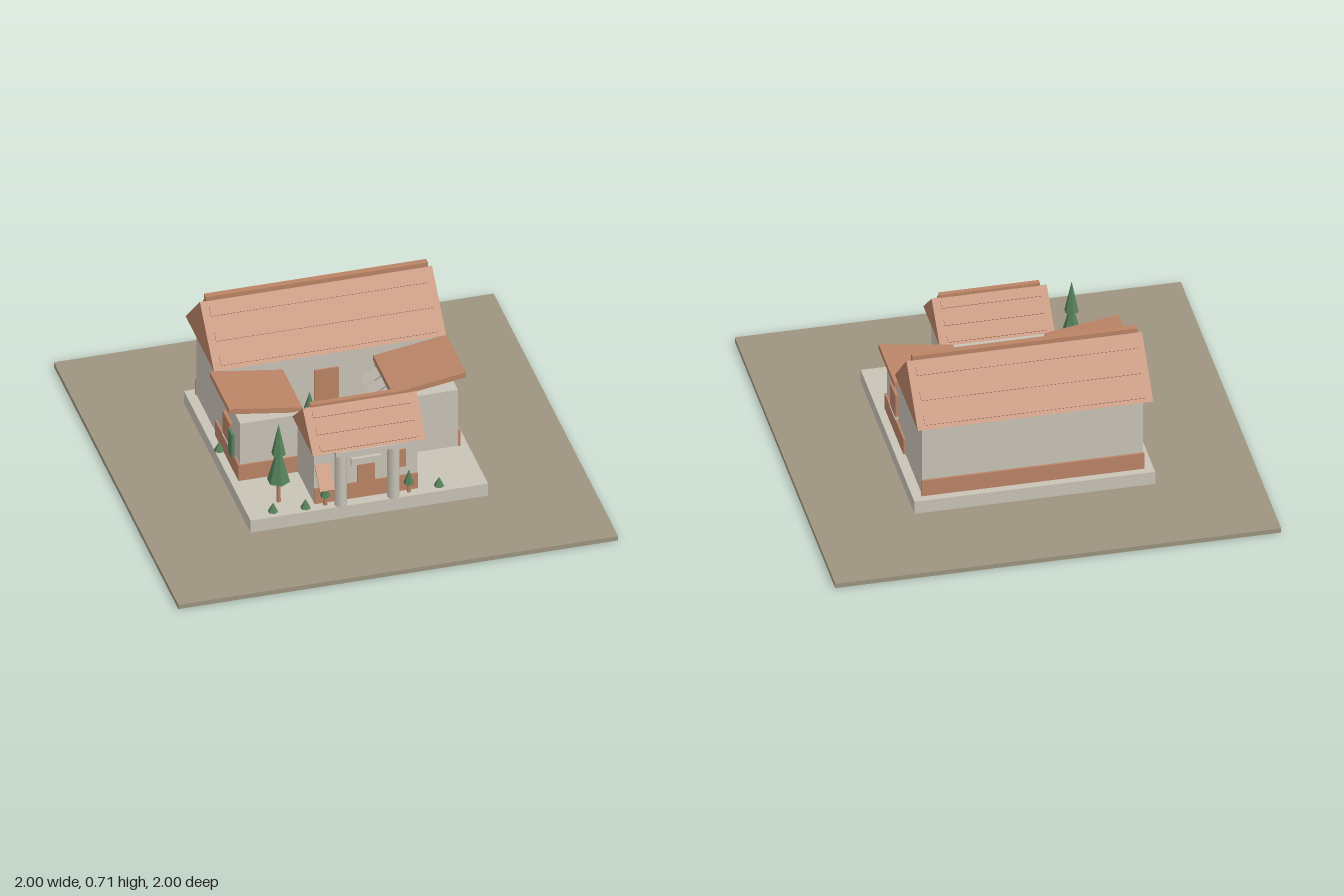
import * as THREE from 'three';

const mat = (name, color) => {
  const m = new THREE.MeshStandardMaterial({ color });
  m.name = name;
  return m;
};

export function createModel() {
  const root = new THREE.Group();
  root.name = 'courtyardHouse';
  const stone = mat('pale plaster', 0xc9c3b7);
  const clay = mat('terracotta', 0xba8466);
  const earth = mat('earth', 0x9d947f);
  const leaf = mat('leaf green', 0x55805a);
  leaf.flatShading = true;

  const add = (name, geo, material, parent = root) => {
    const m = new THREE.Mesh(geo, material);
    m.name = name;
    parent.add(m);
    return m;
  };
  // Box given by its lower and upper limits
  const box = (name, x0, x1, y0, y1, z0, z1, material, parent = root) => {
    const m = add(name, new THREE.BoxGeometry(x1 - x0, y1 - y0, z1 - z0), material, parent);
    m.position.set((x0 + x1) / 2, (y0 + y1) / 2, (z0 + z1) / 2);
    return m;
  };

  // Ground and plinth
  box('ground', -1, 1, 0, 0.022, -1, 1, earth);
  box('plinth', -0.54, 0.54, 0.022, 0.085, -0.535, 0.535, stone);
  box('courtyardPond', -0.07, 0.065, 0.085, 0.09, -0.06, 0.105, earth);

  // Solid gable roof along x, with tile strips lying above both slopes
  const gableRoof = (name, half, eave, ridge, zc, depth, stripHalf, stripWidth, lift) => {
    const g = new THREE.Group();
    g.name = name;
    root.add(g);
    const h = ridge - eave;
    const shape = new THREE.Shape([
      new THREE.Vector2(-depth, 0), new THREE.Vector2(depth, 0), new THREE.Vector2(0, h)]);
    const geo = new THREE.ExtrudeGeometry(shape, { depth: half * 2, bevelEnabled: false });
    geo.translate(0, 0, -half).rotateY(Math.PI / 2);
    add('gable', geo, clay, g).position.set(0, eave, zc);
    const a = Math.atan2(h, depth);
    for (const s of [-1, 1]) for (const t of [0.17, 0.53, 0.88]) {
      const strip = add('tileStrip', new THREE.BoxGeometry(stripHalf * 2, 0.006, stripWidth), clay, g);
      strip.position.set(0, ridge - h * t + lift * Math.cos(a), zc + s * (depth * t + lift * Math.sin(a)));
      strip.rotation.x = s * a;
    }
    return g;
  };

  // Main hall at the back
  box('hallBody', -0.495, 0.495, 0.085, 0.455, -0.49, -0.14, stone);
  box('hallBackSkirting', -0.5, 0.5, 0.085, 0.165, -0.5, -0.49, clay);
  box('hallDoor', -0.06, 0.05, 0.12, 0.36, -0.14, -0.132, clay);
  const hallRoof = gableRoof('hallRoof', 0.528, 0.465, 0.685, -0.322, 0.228, 0.495, 0.042, 0.015);
  box('ridgeCap', -0.505, 0.505, 0.693, 0.715, -0.337, -0.307, clay, hallRoof);

  // Side wings, mirrored, with roofs falling towards the courtyard
  for (const s of [-1, 1]) {
    const wing = new THREE.Group();
    wing.name = s > 0 ? 'leftWing' : 'rightWing';
    root.add(wing);
    const part = (name, x0, x1, ...rest) =>
      box(name, Math.min(s * x0, s * x1), Math.max(s * x0, s * x1), ...rest, wing);
    part('wingBody', 0.215, 0.495, 0.085, 0.378, -0.14, 0.21, stone);
    part('sideSkirting', 0.495, 0.505, 0.085, 0.165, -0.16, 0.213, clay);
    part('sideWindow', 0.495, 0.51, 0.19, 0.305, -0.02, 0.09, clay);
    part('windowSill', 0.495, 0.512, 0.178, 0.186, -0.02, 0.09, stone);
    const slope = [[0.205, 0.37], [0.538, 0.42], [0.538, 0.446], [0.205, 0.396]];
    const shape = new THREE.Shape(slope.map(([x, y]) => new THREE.Vector2(s * x, y)));
    const geo = new THREE.ExtrudeGeometry(shape, { depth: 0.312, bevelEnabled: false });
    add('wingRoof', geo.translate(0, 0, -0.127), clay, wing);
  }
  box('wingFrontSkirting', -0.505, -0.235, 0.085, 0.165, 0.21, 0.218, clay);
  box('climbingPlant', -0.528, -0.515, 0.185, 0.31, 0.13, 0.185, leaf);

  // Raised shutters along one side of the courtyard
  for (let i = 0; i < 3; i++) {
    const z = -0.06 + i * 0.083;
    const shutter = box('courtyardShutter', 0.135, 0.215, 0.33, 0.336, z - 0.034, z + 0.034, stone);
    shutter.rotation.z = 0.6;
    if (i < 2) box('shutterBracket', 0.18, 0.215, 0.3, 0.31, z + 0.036, z + 0.046, clay);
  }

  // Gatehouse
  box('gateBody', -0.235, 0.235, 0.085, 0.355, 0.175, 0.48, stone);
  box('gateSkirting', -0.235, 0.235, 0.085, 0.165, 0.48, 0.486, clay);
  box('gateDoor', -0.04, 0.04, 0.165, 0.262, 0.48, 0.486, clay);
  box('doorLintel', -0.07, 0.065, 0.262, 0.296, 0.48, 0.495, stone);
  box('gateBeam', -0.155, 0.145, 0.352, 0.375, 0.475, 0.545, stone);
  box('gateWindow', 0.13, 0.18, 0.21, 0.3, 0.48, 0.486, clay);
  for (const x of [-0.125, 0.115]) {
    const col = add('gateColumn', new THREE.CylinderGeometry(0.028, 0.028, 0.268, 8), stone);
    col.position.set(x, 0.219, 0.515);
  }
  const awning = add('gateAwning', new THREE.BoxGeometry(0.068, 0.125, 0.008), clay);
  awning.position.set(-0.2, 0.245, 0.525);
  awning.rotation.x = -Math.PI / 4;
  const gateRoof = gableRoof('gateRoof', 0.258, 0.375, 0.52, 0.376, 0.165, 0.223, 0.03, 0.012);
  box('ridgeCap', -0.225, 0.225, 0.527, 0.541, 0.364, 0.388, clay, gateRoof);

  // Conifers: trunk and stacked six-sided cones
  const tree = (x, z, trunkTop, cones) => {
    const g = new THREE.Group();
    g.name = 'tree';
    g.position.set(x, 0.085, z);
    root.add(g);
    if (trunkTop) {
      const t = add('trunk', new THREE.CylinderGeometry(0.008, 0.01, trunkTop, 6), clay, g);
      t.position.y = trunkTop / 2;
    }
    for (const [y, r, h] of cones) {
      add('foliage', new THREE.ConeGeometry(r, h, 6), leaf, g).position.y = y + h / 2;
    }
  };
  tree(-0.38, 0.42, 0.12, [[0.11, 0.052, 0.19], [0.25, 0.033, 0.155]]);
  tree(-0.12, 0, 0.08, [[0.07, 0.047, 0.13], [0.16, 0.03, 0.1]]);
  tree(0.095, 0.09, 0.07, [[0.06, 0.042, 0.11], [0.14, 0.026, 0.09]]);
  for (const x of [-0.19, 0.19]) tree(x, 0.5, 0.06, [[0.045, 0.024, 0.07]]);
  for (const [x, z] of [[-0.425, 0.49], [-0.28, 0.5], [0.33, 0.49], [-0.52, -0.04]]) {
    tree(x, z, 0, [[0, 0.024, 0.045]]);
  }
  return root;
}
